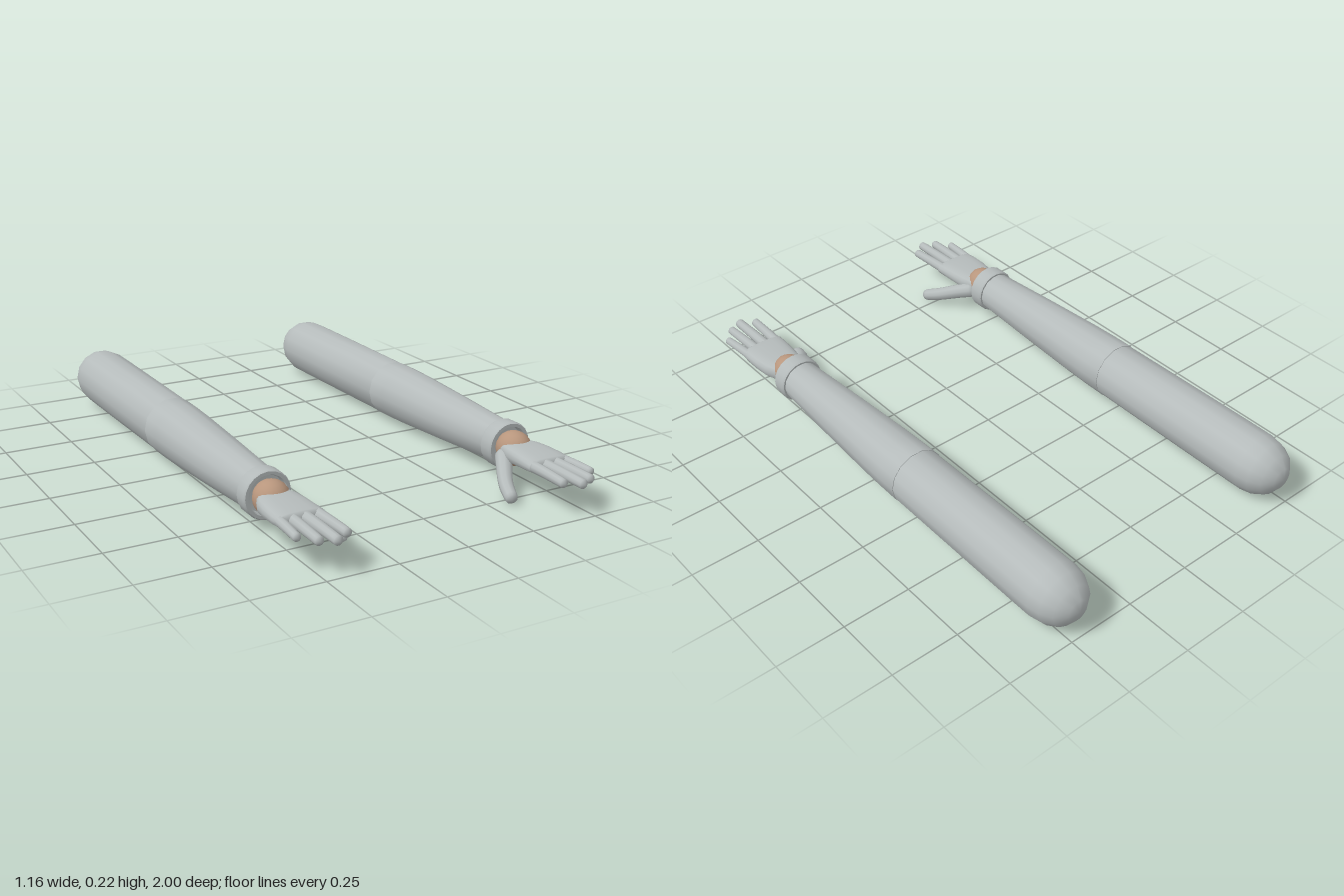
import * as THREE from 'three';
import { mergeVertices, toCreasedNormals } from 'three/addons/utils/BufferGeometryUtils.js';

const AXIS_X = 0.471, AXIS_Y = 0.114;

// Weld and smooth a geometry
function smooth(geo) {
  geo.deleteAttribute('uv');
  geo.deleteAttribute('normal');
  const g = mergeVertices(geo, 1e-5);
  g.computeVertexNormals();
  return g;
}

// Turned part along z; profile is [radius, z] from back to front
function turned(profile, sides, crease) {
  const g = new THREE.LatheGeometry(profile.map(([r, z]) => new THREE.Vector2(r, z)), sides, Math.PI / 2);
  g.rotateX(Math.PI / 2);
  return toCreasedNormals(g, crease);
}

// Tapered round-ended tube through points, radius r0 to r1
function digit(points, r0, r1, flat = 1) {
  const curve = new THREE.CatmullRomCurve3(points.map(p => new THREE.Vector3(...p)));
  const rings = 20, sides = 10, len = curve.getLength();
  const g = new THREE.TubeGeometry(curve, rings, 1, sides);
  const pos = g.attributes.position, v = new THREE.Vector3();
  for (let i = 0; i <= rings; i++) {
    const t = i / rings, c = curve.getPointAt(t);
    let r = r0 + (r1 - r0) * t;
    const d = Math.min(t, 1 - t) * len;
    if (d < r) r *= Math.sqrt(Math.max(0, 1 - (1 - d / r) ** 2));
    for (let j = 0; j <= sides; j++) {
      const k = i * (sides + 1) + j;
      v.fromBufferAttribute(pos, k).sub(c).multiplyScalar(r);
      pos.setXYZ(k, c.x + v.x, c.y + v.y * flat, c.z + v.z);
    }
  }
  return smooth(g);
}

// Palm from flattened rounded sections [z, centre x, half width, centre y, half height]
function palmGeometry(side) {
  const sections = [
    [0.555, 0.47, 0.001, 0.114, 0.001], [0.56, 0.47, 0.045, 0.114, 0.03],
    [0.61, 0.469, 0.062, 0.113, 0.034], [0.65, 0.473, 0.076, 0.115, 0.034],
    [0.70, 0.474, 0.082, 0.117, 0.031], [0.76, 0.473, 0.085, 0.118, 0.027],
    [0.79, 0.471, 0.084, 0.118, 0.024], [0.80, 0.471, 0.077, 0.118, 0.017],
    [0.802, 0.471, 0.001, 0.118, 0.001],
  ];
  const n = 20, verts = [], index = [];
  const pow = v => Math.sign(v) * Math.abs(v) ** 0.7;
  sections.forEach(([z, cx, hw, cy, hh], i) => {
    for (let j = 0; j < n; j++) {
      const a = j / n * Math.PI * 2;
      verts.push(side * cx + pow(Math.cos(a)) * hw, cy + pow(Math.sin(a)) * hh, z);
      if (i) {
        const k = (j + 1) % n, a0 = (i - 1) * n, b0 = i * n;
        index.push(a0 + j, a0 + k, b0 + k, a0 + j, b0 + k, b0 + j);
      }
    }
  });
  const g = new THREE.BufferGeometry();
  g.setAttribute('position', new THREE.Float32BufferAttribute(verts, 3));
  g.setIndex(index);
  g.computeVertexNormals();
  return g;
}

export function createModel() {
  const cloth = new THREE.MeshStandardMaterial({ color: 0xb5bbbb });
  cloth.name = 'paleGrey';
  const skin = new THREE.MeshStandardMaterial({ color: 0xb8967d });
  skin.name = 'skin';
  const model = new THREE.Group();
  model.name = 'arms';

  for (const side of [1, -1]) {
    const arm = new THREE.Group();
    arm.name = side > 0 ? 'leftArm' : 'rightArm';
    model.add(arm);
    const add = (name, geo, mat, onAxis) => {
      const m = new THREE.Mesh(geo, mat);
      m.name = name;
      if (onAxis) m.position.set(side * AXIS_X, AXIS_Y, 0);
      arm.add(m);
      return m;
    };

    // Sleeves and cuff
    add('upperSleeve', turned([[0, -1], [0.04, -0.99], [0.078, -0.962], [0.1, -0.92], [0.108, -0.875],
      [0.108, -0.8], [0.107, -0.6], [0.104, -0.18], [0, -0.175]], 14, 1), cloth, true);
    add('lowerSleeve', turned([[0, -0.19], [0.106, -0.188], [0.105, -0.1], [0.102, 0], [0.09, 0.25],
      [0.075, 0.52], [0, 0.525]], 14, 1), cloth, true);
    add('cuff', turned([[0.068, 0.515], [0.081, 0.515], [0.085, 0.522], [0.085, 0.568], [0.081, 0.575],
      [0.07, 0.575], [0.067, 0.568], [0.066, 0.545], [0, 0.54]], 20, 0.9), cloth, true);

    // Bare wrist
    const wrist = add('wrist', new THREE.SphereGeometry(1, 18, 12), skin, true);
    wrist.scale.set(0.061, 0.062, 0.067);
    wrist.position.z = 0.598;

    // Gloved hand
    add('palm', palmGeometry(side), cloth);
    const fingers = [
      ['indexFinger', 0.413, 0.402, 0.963, 0.021],
      ['middleFinger', 0.455, 0.454, 1.0, 0.022],
      ['ringFinger', 0.497, 0.504, 0.975, 0.021],
      ['littleFinger', 0.535, 0.55, 0.92, 0.019],
    ];
    for (const [name, x0, x1, tip, r] of fingers) {
      add(name, digit([[side * x0, 0.118, 0.74], [side * (x0 + x1) / 2, 0.119, (0.74 + tip) / 2],
        [side * x1, 0.117, tip]], r, r * 0.76), cloth);
    }
    add('thumb', digit([[side * 0.432, 0.105, 0.59], [side * 0.392, 0.082, 0.65],
      [side * 0.343, 0.047, 0.73], [side * 0.318, 0.017, 0.803]], 0.031, 0.022), cloth);
  }
  return model;
}
